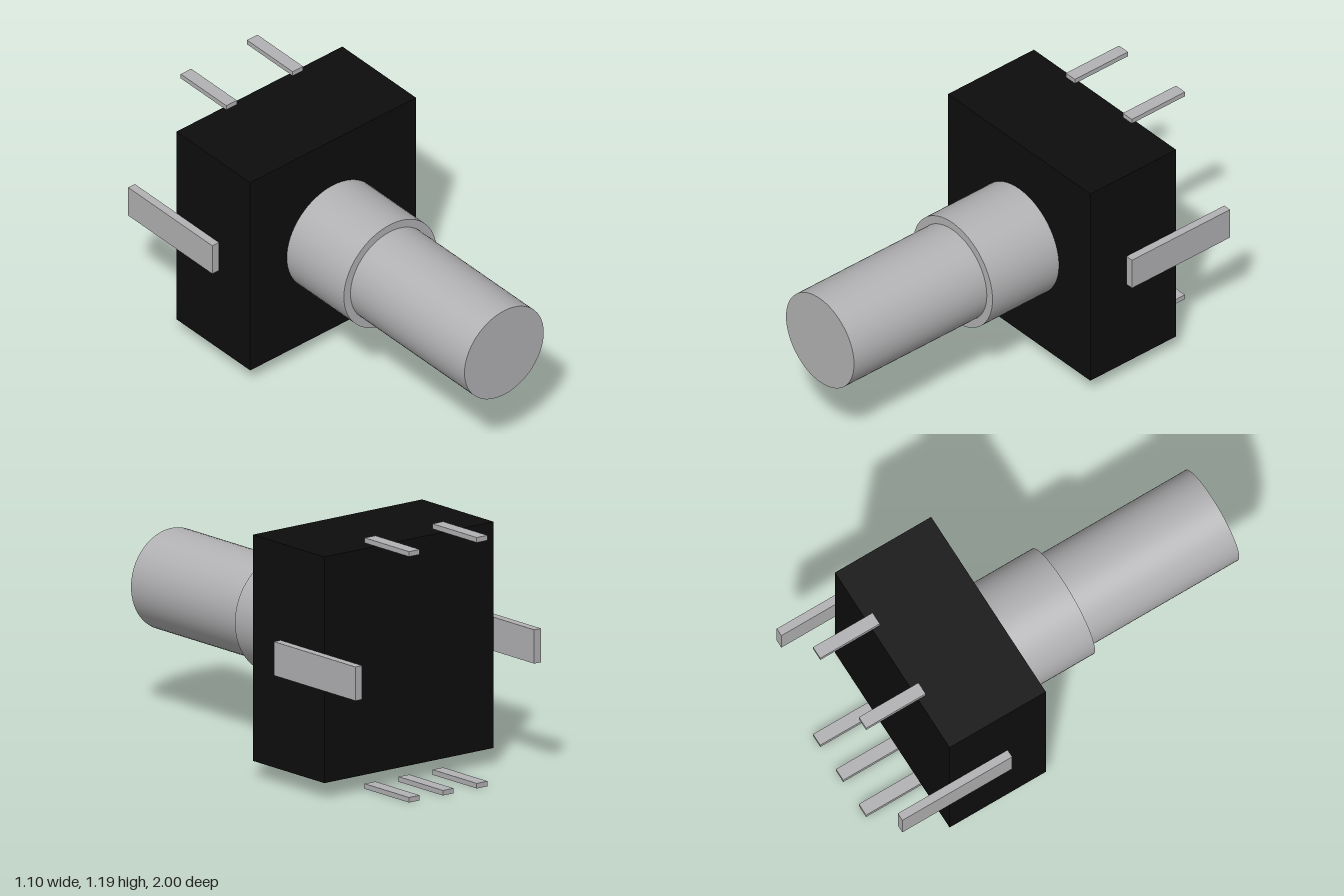
import * as THREE from 'three';

export function createModel() {
  const model = new THREE.Group();
  const metal = new THREE.MeshStandardMaterial({ color: 0xb2b2b4 });
  metal.name = 'metal grey';
  const plastic = new THREE.MeshStandardMaterial({ color: 0x0d0d0d });
  plastic.name = 'housing black';

  const axisY = 0.614; // height of the shaft axis

  function add(name, geometry, material, x, y, z) {
    const mesh = new THREE.Mesh(geometry, material);
    mesh.name = name;
    mesh.position.set(x, y, z);
    model.add(mesh);
  }

  // Cylinder lying along z between two depths
  function rod(name, radius, z0, z1) {
    const geometry = new THREE.CylinderGeometry(radius, radius, z1 - z0, 64);
    geometry.rotateX(Math.PI / 2);
    add(name, geometry, metal, 0, axisY, (z0 + z1) / 2);
  }

  // Square housing
  add('housing', new THREE.BoxGeometry(1, 1.07, 0.517), plastic, 0, axisY, -0.4585);

  // Bushing and the thinner shaft in front of it
  rod('bushing', 0.279, -0.2, 0.2);
  rod('shaft', 0.239, 0.2, 1);

  // Mounting tabs on both sides
  for (const side of [-1, 1]) {
    add(side > 0 ? 'leftMountingTab' : 'rightMountingTab',
      new THREE.BoxGeometry(0.04, 0.16, 0.59), metal, side * 0.528, axisY, -0.705);
  }

  // Two pins above, three below
  const pin = new THREE.BoxGeometry(0.063, 0.024, 0.32);
  for (const x of [-0.2, 0.2]) add('topPin', pin, metal, x, 1.175, -0.84);
  for (const x of [-0.2, 0, 0.2]) add('bottomPin', pin, metal, x, 0.012, -0.84);

  return model;
}
